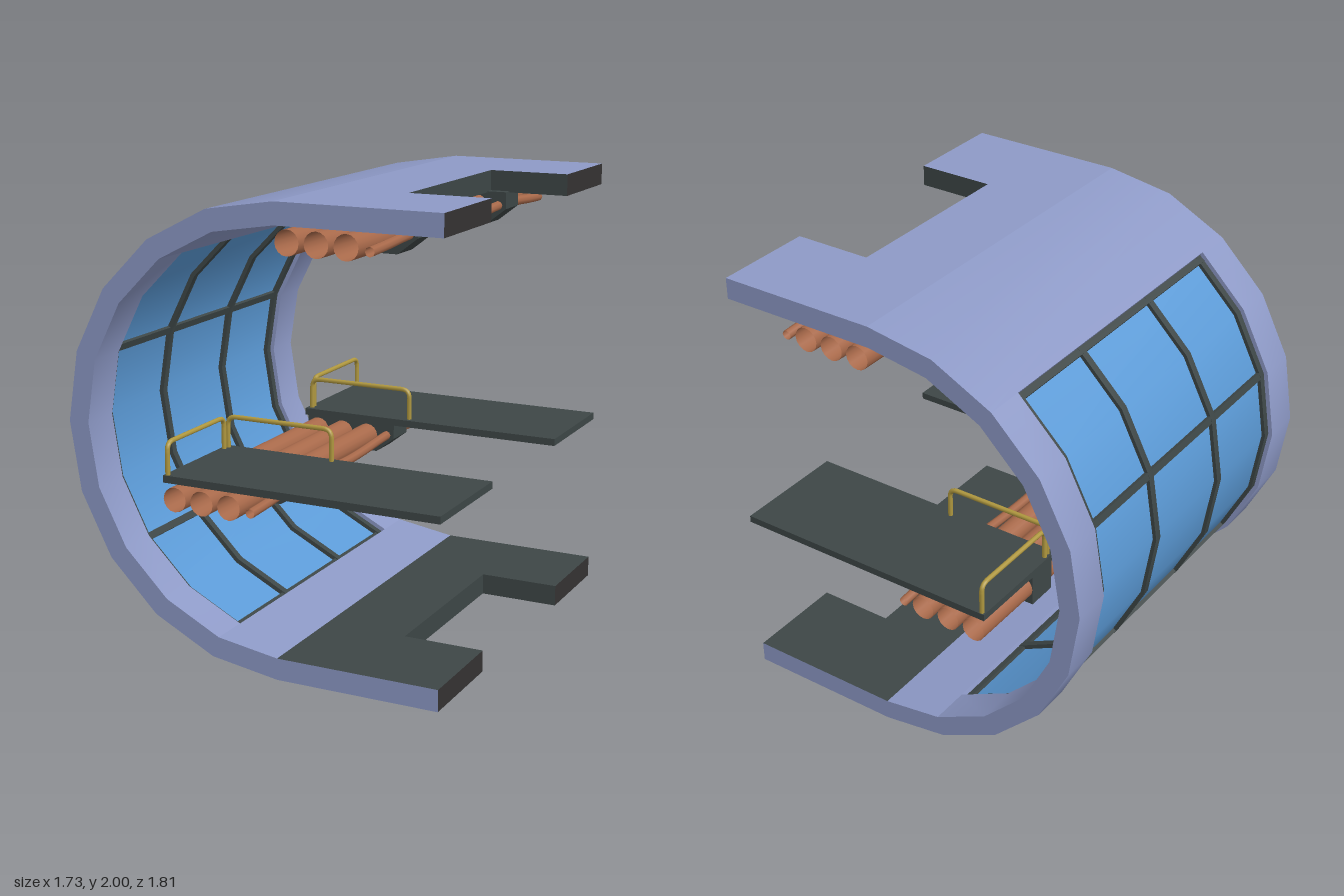
import * as THREE from 'three';
import { toCreasedNormals } from 'three/addons/utils/BufferGeometryUtils.js';

const mat = (color, side = THREE.FrontSide) => new THREE.MeshStandardMaterial({ color, side });
const hull = mat(0x8d99c6), dark = mat(0x3d4646), endCap = mat(0x343232);
const glass = mat(0x5b9ad6, THREE.DoubleSide), copper = mat(0xa8694a, THREE.DoubleSide), brass = mat(0xb0983f);

const CX = 0.135, R_OUT = 1, R_IN = 0.905, HALF = 0.905, STEP = Math.PI / 10;
const WIN_TOP = 2, WIN_BOTTOM = 9, WIN_Z = 0.725; // window limits, in arc steps and z

export function createModel() {
  const root = new THREE.Group();

  function add(name, geometry, material, parent = root) {
    const mesh = new THREE.Mesh(geometry, material);
    mesh.name = name;
    parent.add(mesh);
    return mesh;
  }

  function box(name, x0, x1, y0, y1, z0, z1, material, parent) {
    const m = add(name, new THREE.BoxGeometry(x1 - x0, y1 - y0, z1 - z0), material, parent);
    m.position.set((x0 + x1) / 2, (y0 + y1) / 2, (z0 + z1) / 2);
    return m;
  }

  function extrude(points, z0, z1) {
    const shape = new THREE.Shape(points);
    return new THREE.ExtrudeGeometry(shape, { depth: z1 - z0, bevelEnabled: false }).translate(0, 0, z0);
  }

  // Point on the curved wall: step 0 is the top, step 10 the bottom
  const arcPoint = (r, i) => new THREE.Vector2(CX - r * Math.sin(i * STEP), 1 + r * Math.cos(i * STEP));

  function arcBand(name, r0, r1, i0, i1, z0, z1, material) {
    const pts = [];
    for (let i = i0; i <= i1; i++) pts.push(arcPoint(r1, i));
    for (let i = i1; i >= i0; i--) pts.push(arcPoint(r0, i));
    return add(name, toCreasedNormals(extrude(pts, z0, z1), 0.5), material);
  }

  // Curved wall around the window opening
  arcBand('wallTop', R_IN, R_OUT, 0, WIN_TOP, -HALF, HALF, hull);
  arcBand('wallBottom', R_IN, R_OUT, WIN_BOTTOM, 10, -HALF, HALF, hull);
  arcBand('wallFront', R_IN, R_OUT, WIN_TOP, WIN_BOTTOM, WIN_Z, HALF, hull);
  arcBand('wallBack', R_IN, R_OUT, WIN_TOP, WIN_BOTTOM, -HALF, -WIN_Z, hull);

  // Window: glass, curved ribs and cross bars
  arcBand('windowGlass', 0.945, 0.963, WIN_TOP, WIN_BOTTOM, -WIN_Z, WIN_Z, glass);
  for (const z of [-0.709, -0.263, 0.263, 0.709])
    arcBand('windowRib', 0.925, 0.98, WIN_TOP, WIN_BOTTOM, z - 0.017, z + 0.017, dark);
  for (const i of [WIN_TOP + 0.05, 4, 7, WIN_BOTTOM - 0.05]) {
    const bar = add('windowBar', new THREE.BoxGeometry(0.032, 0.052, 2 * WIN_Z), dark);
    const p = arcPoint(0.952, i);
    bar.position.set(p.x, p.y, 0);
    bar.rotation.z = i * STEP;
  }

  // Floor and ceiling slabs with a notch in the open edge
  const NOTCH_X = 0.505, NOTCH_Z = 0.44, END_X = 0.865;
  for (const [name, y0, y1, top, bottom] of [
    ['floor', 0, 1 - R_IN, dark, hull],
    ['ceiling', 1 + R_IN, 2, hull, dark],
  ]) {
    box(name, CX, NOTCH_X, y0, y1, -HALF, HALF, [dark, hull, top, bottom, hull, hull]);
    box(name + 'FrontArm', NOTCH_X, END_X, y0, y1, NOTCH_Z, HALF, [endCap, dark, top, bottom, hull, dark]);
    box(name + 'BackArm', NOTCH_X, END_X, y0, y1, -HALF, -NOTCH_Z, [endCap, dark, top, bottom, dark, hull]);
  }

  // Pipe racks: three open pipes, one sagging thin pipe and two chamfered brackets
  function pipeRack(name, x, y) {
    const rack = new THREE.Group();
    rack.name = name;
    rack.position.set(x, y, 0);
    root.add(rack);
    for (const px of [0.055, 0.185, 0.315]) {
      const pipe = add('pipe', new THREE.CylinderGeometry(0.054, 0.054, 2 * HALF, 16, 1, true), copper, rack);
      pipe.rotation.x = Math.PI / 2;
      pipe.position.set(px, -0.07, 0);
    }
    const path = [];
    for (let i = 0; i <= 12; i++) {
      const z = -HALF + (i * HALF) / 6;
      path.push(new THREE.Vector3(0.417, -0.07 - 0.01 * Math.cos((z * Math.PI) / 0.47), z));
    }
    add('thinPipe', new THREE.TubeGeometry(new THREE.CatmullRomCurve3(path), 36, 0.021, 8), copper, rack);
    const profile = [[0, 0], [0, -0.145], [0.365, -0.145], [0.455, -0.075], [0.455, 0]];
    for (const z of [-0.545, 0.4])
      add('bracket', extrude(profile.map(p => new THREE.Vector2(...p)), z, z + 0.145), dark, rack);
  }
  pipeRack('upperPipeRack', 0.14, 1.91);
  pipeRack('lowerPipeRack', -0.402, 0.786);

  // Rounded handrail standing between two foot points
  function handrail(name, a, b) {
    const top = 0.958, r = 0.04;
    const dir = b.clone().sub(a).normalize().multiplyScalar(r);
    const at = (p, y) => new THREE.Vector3(p.x, y, p.z);
    const a1 = at(a, top - r), a2 = at(a, top), a3 = a2.clone().add(dir);
    const b1 = at(b, top - r), b2 = at(b, top), b3 = b2.clone().sub(dir);
    const pts = [a];
    pts.push(...new THREE.QuadraticBezierCurve3(a1, a2, a3).getPoints(5));
    pts.push(...new THREE.QuadraticBezierCurve3(b3, b2, b1).getPoints(5), b);
    const path = new THREE.CurvePath();
    for (let i = 1; i < pts.length; i++) path.add(new THREE.LineCurve3(pts[i - 1], pts[i]));
    add(name, new THREE.TubeGeometry(path, 80, 0.011, 8), brass);
  }

  // Two walkways, each with a rail on its wall end and its inner edge
  for (const s of [1, -1]) {
    box('walkway', -0.402, END_X, 0.785, 0.817, s > 0 ? 0.37 : -HALF, s > 0 ? HALF : -0.37, dark);
    const foot = (x, z) => new THREE.Vector3(x, 0.81, s * z);
    handrail('endRail', foot(-0.385, 0.893), foot(-0.385, 0.428));
    handrail('sideRail', foot(-0.38, 0.4), foot(0.133, 0.4));
  }
  return root;
}
